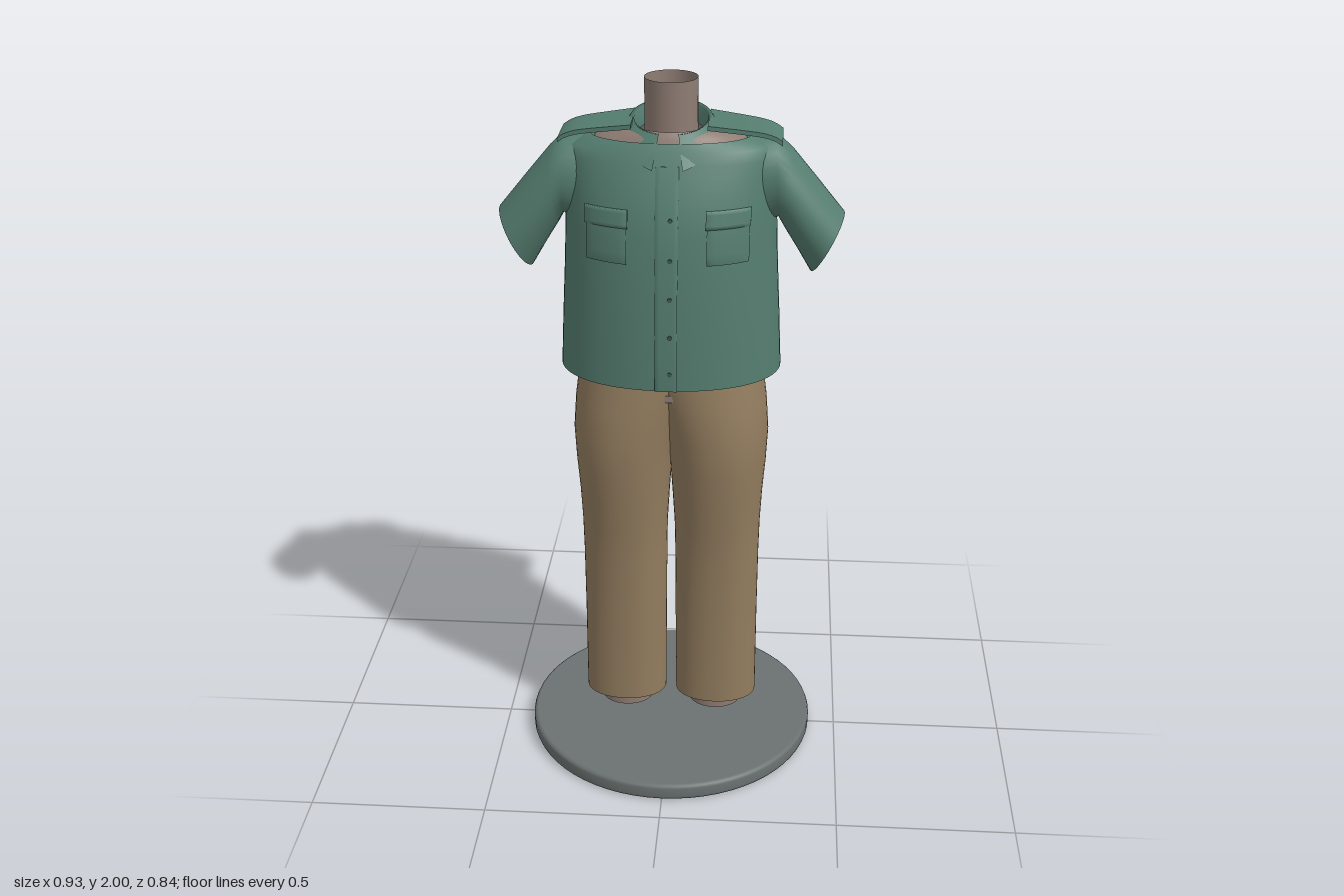
import * as THREE from 'three';

const material = (name, color, side = THREE.DoubleSide) => {
  const m = new THREE.MeshStandardMaterial({ color, side });
  m.name = name;
  return m;
};

// Skin a surface over a grid of points; closed rings share their seam
function skin(rows, closed = true) {
  const n = rows[0].length, index = [];
  for (let j = 0; j < rows.length - 1; j++) {
    for (let i = 0; i < (closed ? n : n - 1); i++) {
      const a = j * n + i, b = j * n + (i + 1) % n;
      index.push(a, a + n, b, b, a + n, b + n);
    }
  }
  const g = new THREE.BufferGeometry();
  g.setAttribute('position', new THREE.Float32BufferAttribute(rows.flat(2), 3));
  g.setIndex(index);
  g.computeVertexNormals();
  return g;
}

const spow = (v, e) => Math.sign(v) * Math.abs(v) ** e;
// Horizontal oval ring: centre x, half width, front depth, back depth
function oval(y, cx, rx, zf, zb, power = 2, n = 48) {
  return Array.from({ length: n }, (_, i) => {
    const a = i / n * Math.PI * 2, c = Math.cos(a), s = Math.sin(a);
    return [cx + rx * spow(c, 2 / power), y, (s > 0 ? zf : zb) * spow(s, 2 / power)];
  });
}

// Shirt sections: y, half width, front depth, back depth
const SHIRT = [
  [1.20, .305, .222, .21], [1.35, .298, .22, .205], [1.50, .29, .213, .196],
  [1.62, .285, .203, .186], [1.70, .284, .187, .173], [1.77, .284, .16, .152],
  [1.80, .283, .147, .142], [1.83, .278, .135, .135], [1.853, .215, .122, .12],
];
const SHIRT_POWER = 2.15;

// Depth of the shirt front at a given x and y
function shirtFront(x, y) {
  let k = 0;
  while (k < SHIRT.length - 2 && SHIRT[k + 1][0] < y) k++;
  const a = SHIRT[k], b = SHIRT[k + 1], t = (y - a[0]) / (b[0] - a[0]);
  const rx = a[1] + (b[1] - a[1]) * t, zf = a[2] + (b[2] - a[2]) * t;
  return zf * (1 - Math.min(1, Math.abs(x) / rx) ** SHIRT_POWER) ** (1 / SHIRT_POWER);
}

// Raised patch of cloth on the shirt front, with its rim tucked in
function patch(x0, x1, y0, y1, lift) {
  const ts = [0, 0, .2, .4, .6, .8, 1, 1], last = ts.length - 1;
  return skin(ts.map((v, j) => ts.map((u, i) => {
    const x = x0 + (x1 - x0) * u, y = y0 + (y1 - y0) * v;
    const rim = i === 0 || j === 0 || i === last || j === last;
    return [x, y, shirtFront(x, y) + (rim ? -.002 : lift)];
  })), false);
}

// Slanted tube for sleeves and arms: rows of top x, top y, bottom x, bottom y, depth
function sleeve(rows, side) {
  return skin(rows.map(([tx, ty, bx, by, r]) => Array.from({ length: 32 }, (_, i) => {
    const a = i / 32 * Math.PI * 2, t = (1 - Math.cos(a)) / 2;
    return [side * (tx + (bx - tx) * t), ty + (by - ty) * t, r * Math.sin(a)];
  })));
}

// Folded collar: inner stand, fold and outer fall, open at the front
function collar() {
  const rows = [[], [], [], []], n = 48, gap = .24;
  for (let i = 0; i <= n; i++) {
    const a = gap + (Math.PI * 2 - 2 * gap) * i / n, c = Math.cos(a), c2 = c * c;
    const top = 1.892 - .022 * c;
    const fall = c > 0 ? [.124 + .044 * c2, 1.872 - .085 * c2] : [.124 + .036 * c2, 1.872 - .012 * c2];
    const profile = [[.094, top - .05], [.098, top], [.108, top + .002], fall];
    profile.forEach(([r, y], k) => rows[k].push([r * Math.sin(a), y, r * c]));
  }
  return skin(rows, false);
}

// Shoulder strap: a narrow slab bent down over the shoulder
function strap(side) {
  const g = new THREE.BoxGeometry(1, .012, 2, 12, 1, 1), p = g.attributes.position;
  for (let i = 0; i < p.count; i++) {
    const t = p.getX(i) + .5, u = side > 0 ? t : 1 - t;
    p.setXYZ(i, side * (.1 + .195 * u), 1.886 - .025 * u - .018 * u ** 8 + p.getY(i),
      p.getZ(i) * (.088 - .02 * u));
  }
  g.computeVertexNormals();
  return g;
}

export function createModel() {
  const model = new THREE.Group();
  model.name = 'dressedMannequin';
  const green = material('shirt green', 0x557d70);
  const tan = material('trouser tan', 0x937d5f);
  const flesh = material('mannequin taupe', 0x8e7c73);
  const grey = material('stand grey', 0x6b7271, THREE.FrontSide);
  const dark = material('button dark green', 0x3c5a50, THREE.FrontSide);
  const add = (name, geometry, mat, parent = model) => {
    const mesh = new THREE.Mesh(geometry, mat);
    mesh.name = name;
    parent.add(mesh);
    return mesh;
  };

  // Round stand with a softened rim
  const rim = [[0, 0], [.41, 0], [.418, .004], [.421, .012], [.421, .038], [.418, .046], [.41, .05], [0, .05]];
  add('stand', new THREE.LatheGeometry(rim.map(([x, y]) => new THREE.Vector2(x, y)), 64), grey);

  // Hollow mannequin torso and neck
  add('torso', skin([
    [1.22, .23, .12, .13], [1.5, .255, .17, .16], [1.7, .255, .16, .15], [1.77, .255, .135, .13],
    [1.812, .245, .125, .122], [1.858, .18, .11, .11], [1.876, .1, .095, .095],
  ].map(([y, rx, zf, zb]) => oval(y, 0, rx, zf, zb)), true), flesh);
  add('neck', new THREE.CylinderGeometry(.071, .071, .18, 40, 1, true), flesh).position.y = 1.91;

  // Shirt body and collar
  const shirt = new THREE.Group();
  shirt.name = 'shirt';
  model.add(shirt);
  add('shirtBody', skin(SHIRT.map(([y, rx, zf, zb]) => oval(y, 0, rx, zf, zb, SHIRT_POWER, 64))), green, shirt);
  add('collar', collar(), green, shirt);

  // Button placket
  add('placket', patch(-.03, .03, 1.2, 1.8, .004), green, shirt);
  for (const y of [1.25, 1.355, 1.46, 1.565, 1.67]) {
    const button = add('button', new THREE.CylinderGeometry(.006, .006, .004, 12), dark, shirt);
    button.rotation.x = Math.PI / 2;
    button.position.set(.01, y, shirtFront(.01, y) + .005);
  }

  for (const s of [1, -1]) {
    const label = s > 0 ? 'left' : 'right';

    // Sleeve, arm stump, pocket and shoulder strap
    add(label + 'Sleeve', sleeve([
      [.2, 1.85, .24, 1.6, .09], [.28, 1.853, .288, 1.63, .098], [.325, 1.81, .305, 1.6, .1],
      [.39, 1.732, .342, 1.54, .1], [.465, 1.64, .378, 1.478, .097],
    ], s), green, shirt);
    add(label + 'Arm', sleeve([
      [.21, 1.82, .25, 1.63, .08], [.3, 1.8, .31, 1.63, .085],
      [.37, 1.725, .35, 1.56, .084], [.43, 1.655, .372, 1.505, .08],
    ], s), flesh);
    add(label + 'Pocket', patch(s * .105, s * .215, 1.55, 1.69, .004), green, shirt);
    add(label + 'PocketFlap', patch(s * .102, s * .218, 1.645, 1.692, .007), green, shirt);
    add(label + 'ShoulderStrap', strap(s), green, shirt);

    // Trouser leg: y, inner x, outer x, front depth, back depth
    add(label + 'TrouserLeg', skin([
      [.12, .015, .255, .09, .093], [.4, .013, .255, .098, .103], [.6, .012, .256, .11, .113],
      [.7, .01, .258, .121, .116], [.8, .004, .263, .136, .126], [.9, -.003, .271, .148, .142],
      [1, -.015, .276, .157, .155], [1.1, -.045, .269, .15, .155], [1.2, -.08, .256, .14, .148],
      [1.28, -.1, .25, .13, .14],
    ].map(([y, a, b, zf, zb]) => oval(y, s * (a + b) / 2, (b - a) / 2, zf, zb, 2.1))), tan);

    // Open ankle stub
    add(label + 'Ankle', skin([.082, .3].map(y => oval(y, s * .133, .075, .064, .064))), flesh);
  }

  // Small tab at the fly
  add('flyTab', new THREE.BoxGeometry(.06, .02, .008), flesh).position.set(0, 1.13, .118);
  return model;
}
